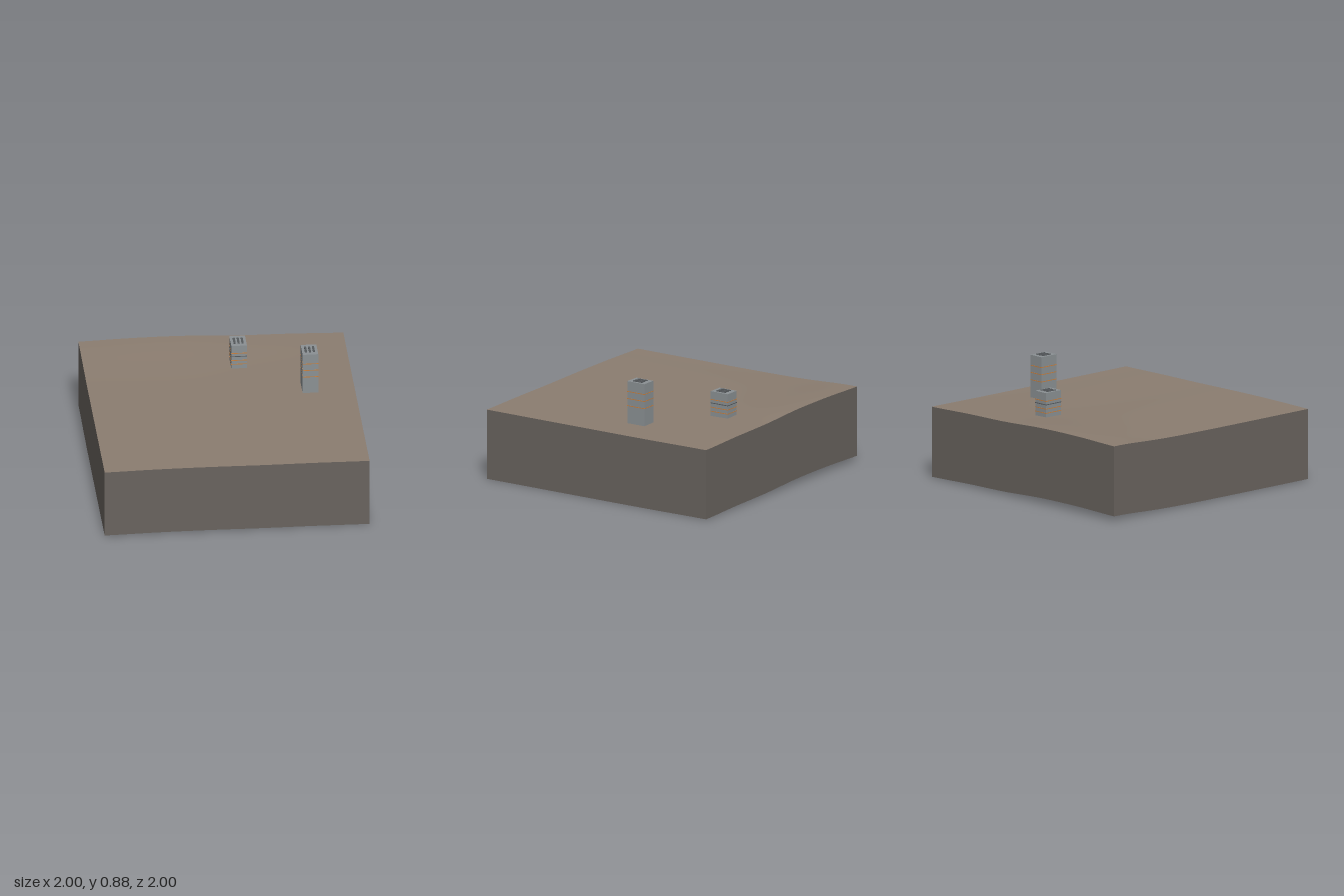
import * as THREE from 'three';

const terrainMat = new THREE.MeshStandardMaterial({ color: 0x8b7d70, side: THREE.DoubleSide });
terrainMat.name = 'earth brown';
const skirtMat = new THREE.MeshStandardMaterial({ color: 0x69635e, side: THREE.DoubleSide });
skirtMat.name = 'cut earth grey';
const concreteMat = new THREE.MeshStandardMaterial({ color: 0x8b9194 });
concreteMat.name = 'concrete grey';
const ventMat = new THREE.MeshStandardMaterial({ color: 0x55595c });
ventMat.name = 'dark vent grey';
const orangeMat = new THREE.MeshStandardMaterial({ color: 0xc8803f });
orangeMat.name = 'orange band';

// Ground profiles along the back and front edges, blended with depth
const profile = (ys) => new THREE.SplineCurve(
  ys.map((y, i) => new THREE.Vector2(-1 + (2 * i) / (ys.length - 1), y)));
const backEdge = profile([0.575, 0.584, 0.582, 0.564, 0.557, 0.545]);
const frontEdge = profile([0.548, 0.553, 0.552, 0.547, 0.545, 0.54]);
const DEPTH = 0.54;

function groundHeight(x, z) {
  const t = THREE.MathUtils.clamp((x + 1) / 2, 0, 1);
  const w = 1 / (1 + Math.pow(Math.max(0, z + 1) / 0.38, 2.5));
  return THREE.MathUtils.lerp(frontEdge.getPoint(t).y, backEdge.getPoint(t).y, w);
}

function mesh(name, geometry, material, x = 0, y = 0, z = 0) {
  const m = new THREE.Mesh(geometry, material);
  m.name = name;
  m.position.set(x, y, z);
  return m;
}

function makeTerrain() {
  const geo = new THREE.PlaneGeometry(2, 2, 40, 40).rotateX(-Math.PI / 2);
  const p = geo.attributes.position;
  for (let i = 0; i < p.count; i++) p.setY(i, groundHeight(p.getX(i), p.getZ(i)));
  geo.computeVertexNormals();
  return mesh('terrain', geo, terrainMat);
}

// One wall of the open-bottomed block; its lower edge repeats the ground line
function makeSkirt(name, quarterTurns) {
  const geo = new THREE.PlaneGeometry(2, 1, 40, 1)
    .translate(0, 0, 1).rotateY((quarterTurns * Math.PI) / 2);
  const p = geo.attributes.position;
  for (let i = 0; i < p.count; i++) {
    const drop = p.getY(i) > 0 ? 0 : DEPTH;
    p.setY(i, groundHeight(p.getX(i), p.getZ(i)) - drop);
  }
  return mesh(name, geo, skirtMat);
}

// Tower with thin bands around it and three roof vents
function makeTower(name, x, z, top, orangeBands, darkBands) {
  const tower = new THREE.Group();
  tower.name = name;
  const w = 0.118, d = 0.155, base = 0.545;
  tower.add(mesh('towerBody', new THREE.BoxGeometry(w, top - base, d), concreteMat, x, (top + base) / 2, z));
  const bandGeo = new THREE.BoxGeometry(w + 0.002, 0.006, d + 0.002);
  for (const y of orangeBands) tower.add(mesh('orangeBand', bandGeo, orangeMat, x, y, z));
  for (const y of darkBands) tower.add(mesh('darkBand', bandGeo, ventMat, x, y, z));
  for (const i of [-1, 0, 1]) {
    tower.add(mesh('roofVent', new THREE.BoxGeometry(0.016, 0.006, 0.085), ventMat,
      x + i * 0.03, top + 0.002, z));
  }
  return tower;
}

export function createModel() {
  const model = new THREE.Group();
  model.name = 'terrainBlock';
  model.add(makeTerrain());
  ['frontSkirt', 'leftSkirt', 'backSkirt', 'rightSkirt'].forEach((n, i) => model.add(makeSkirt(n, i)));
  model.add(makeTower('shortTower', 0.165, -0.585, 0.746, [0.59, 0.622, 0.682], [0.655]));
  model.add(makeTower('tallTower', 0.662, -0.167, 0.873, [0.682, 0.738, 0.793], []));
  return model;
}
